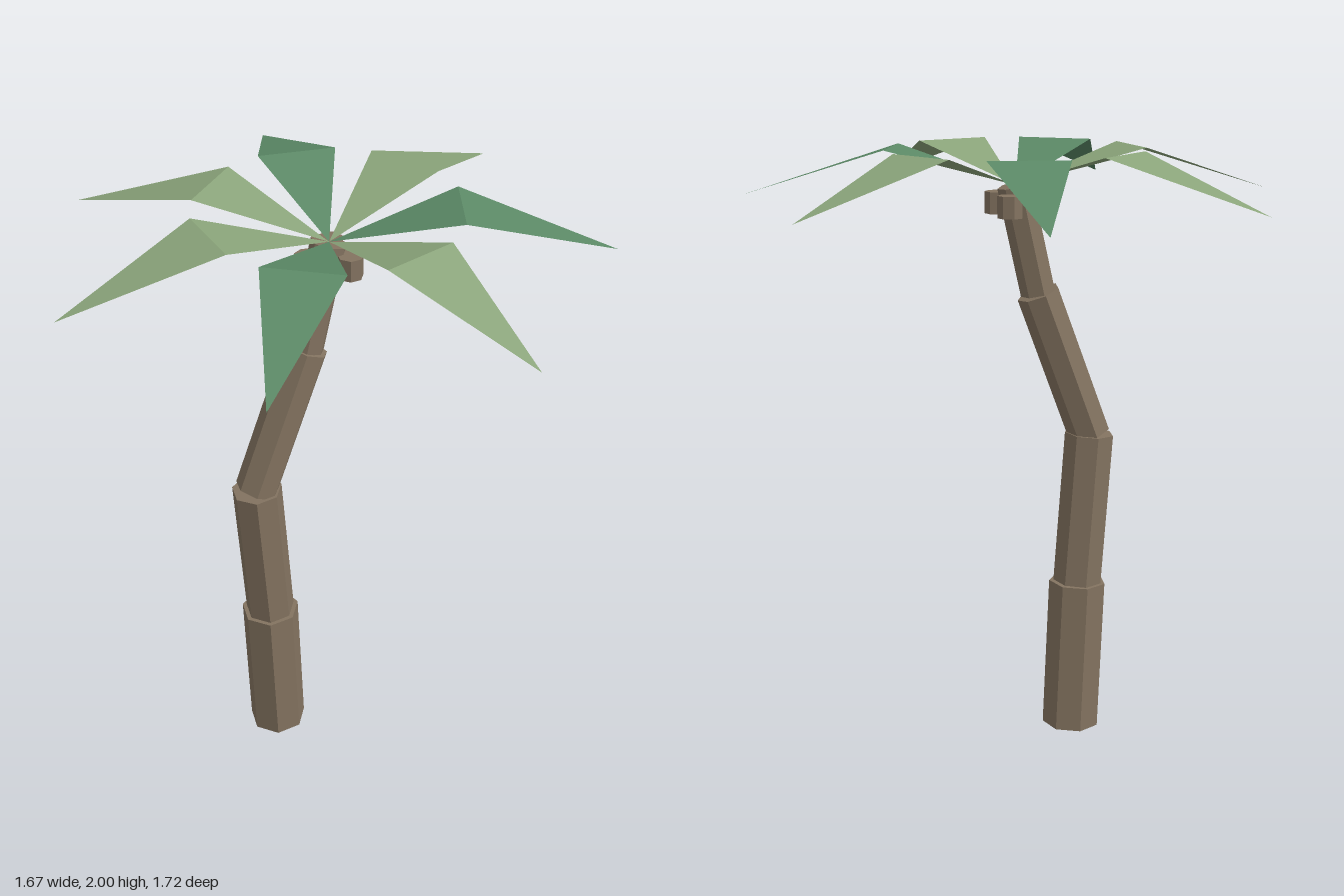
import * as THREE from 'three';

const SIDES = 7;

function material(name, color, options = {}) {
  const m = new THREE.MeshStandardMaterial({ color, flatShading: true, ...options });
  m.name = name;
  return m;
}

// Seven-sided prism with one corner pointing to the back
function prism(radius, height, mat, name) {
  const mesh = new THREE.Mesh(
    new THREE.CylinderGeometry(radius, radius, height, SIDES, 1, false, Math.PI), mat);
  mesh.name = name;
  return mesh;
}

// Folded leaf: a point at the crown, wide across the fold, and a drooping tip
function leafGeometry() {
  const geo = new THREE.BufferGeometry();
  geo.setAttribute('position', new THREE.Float32BufferAttribute([
    0, 0, 0, 0.397, 0.115, 0.126, 0.397, 0.115, -0.126,
    0.397, 0.115, 0.126, 0.88, -0.04, 0, 0.397, 0.115, -0.126,
  ], 3));
  geo.computeVertexNormals();
  return geo;
}

export function createModel() {
  const model = new THREE.Group();
  model.name = 'palmTree';

  const bark = material('bark brown', 0x837360);
  const lightLeaf = material('light leaf green', 0x8aa47a, { side: THREE.DoubleSide });
  const darkLeaf = material('dark leaf green', 0x5b8966, { side: THREE.DoubleSide });

  // Trunk: four straight sections following a bent path, thinner towards the top
  const path = [[-0.161, 0.005], [-0.183, 0.527], [-0.222, 1.048], [-0.039, 1.535], [0.04, 1.885]];
  const radii = [0.0975, 0.083, 0.0715, 0.058];
  const trunk = new THREE.Group();
  trunk.name = 'trunk';
  radii.forEach((radius, i) => {
    const [x0, y0] = path[i];
    const [x1, y1] = path[i + 1];
    const section = prism(radius, Math.hypot(x1 - x0, y1 - y0), bark, `trunkSection${i + 1}`);
    section.position.set((x0 + x1) / 2, (y0 + y1) / 2, 0);
    section.rotation.z = Math.atan2(x0 - x1, y1 - y0);
    trunk.add(section);
  });
  model.add(trunk);

  // Three coconuts around the top of the trunk
  for (let i = 0; i < 3; i++) {
    const a = Math.PI + (i * Math.PI * 2) / 3;
    const coconut = prism(0.041, 0.07, bark, `coconut${i + 1}`);
    coconut.position.set(0.041 + 0.075 * Math.cos(a), 1.825, 0.075 * Math.sin(a));
    model.add(coconut);
  }

  // Crown of seven leaves, alternating in colour
  const crown = new THREE.Group();
  crown.name = 'crown';
  crown.position.set(0.04, 1.885, 0);
  const leafShape = leafGeometry();
  for (let i = 0; i < 7; i++) {
    const leaf = new THREE.Mesh(leafShape, i % 2 ? darkLeaf : lightLeaf);
    leaf.name = `leaf${i + 1}`;
    leaf.rotation.y = Math.PI + (i * Math.PI * 2) / 7;
    crown.add(leaf);
  }
  model.add(crown);

  return model;
}
